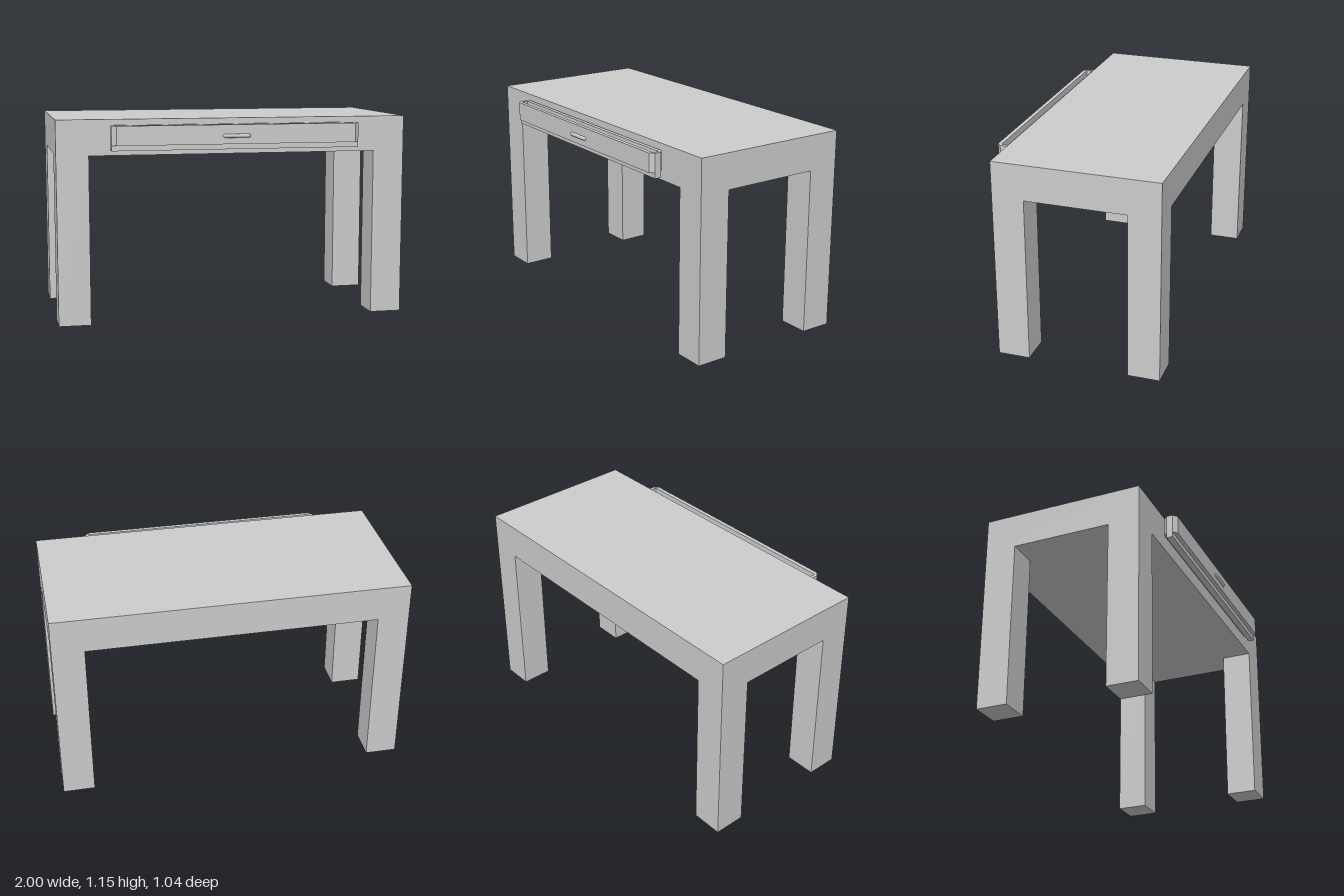
import * as THREE from 'three';

const material = new THREE.MeshStandardMaterial({ color: 0xcccccc });
material.name = 'plain grey';

function add(group, name, geometry, x, y, z) {
  const mesh = new THREE.Mesh(geometry, material);
  mesh.name = name;
  mesh.position.set(x, y, z);
  group.add(mesh);
  return mesh;
}

export function createModel() {
  const desk = new THREE.Group();
  desk.name = 'desk';

  // Thick top slab
  add(desk, 'tableTop', new THREE.BoxGeometry(2, 0.2, 0.93), 0, 1.05, -0.055);

  // Four square legs, flush with the corners
  const leg = new THREE.BoxGeometry(0.18, 0.95, 0.18);
  for (const [z, end] of [[0.32, 'front'], [-0.43, 'back']]) {
    for (const [x, side] of [[0.91, 'Left'], [-0.91, 'Right']]) {
      add(desk, end + side + 'Leg', leg, x, 0.475, z);
    }
  }

  // Drawer: open ring with chamfered ends standing on a narrow bottom strip
  const drawer = new THREE.Group();
  drawer.name = 'drawer';
  desk.add(drawer);

  const corners = [
    [-0.678, -0.041], [0.678, -0.041], [0.703, -0.018], [0.703, 0.018],
    [0.678, 0.041], [-0.678, 0.041], [-0.703, 0.018], [-0.703, -0.018],
  ];
  const ring = new THREE.Shape(corners.map(([x, y]) => new THREE.Vector2(x, y)));
  ring.holes.push(new THREE.Path([
    [-0.683, -0.018], [-0.683, 0.018], [0.683, 0.018], [0.683, -0.018],
  ].map(([x, y]) => new THREE.Vector2(x, y))));
  const walls = new THREE.ExtrudeGeometry(ring, { depth: 0.108, bevelEnabled: false });
  walls.rotateX(-Math.PI / 2);
  add(drawer, 'drawerWalls', walls, 0, 1.01, 0.465);
  add(drawer, 'drawerBottom', new THREE.BoxGeometry(1.406, 0.03, 0.036), 0, 0.995, 0.465);

  // Bent bar handle with its ends passing through the drawer front
  const path = new THREE.CatmullRomCurve3([
    [-0.082, 0.45], [-0.082, 0.495], [-0.068, 0.508],
    [0.052, 0.508], [0.066, 0.495], [0.066, 0.45],
  ].map(([x, z]) => new THREE.Vector3(x, 0, z)), false, 'catmullrom', 0.1);
  add(drawer, 'drawerHandle', new THREE.TubeGeometry(path, 48, 0.011, 10), 0, 1.056, 0);

  return desk;
}
